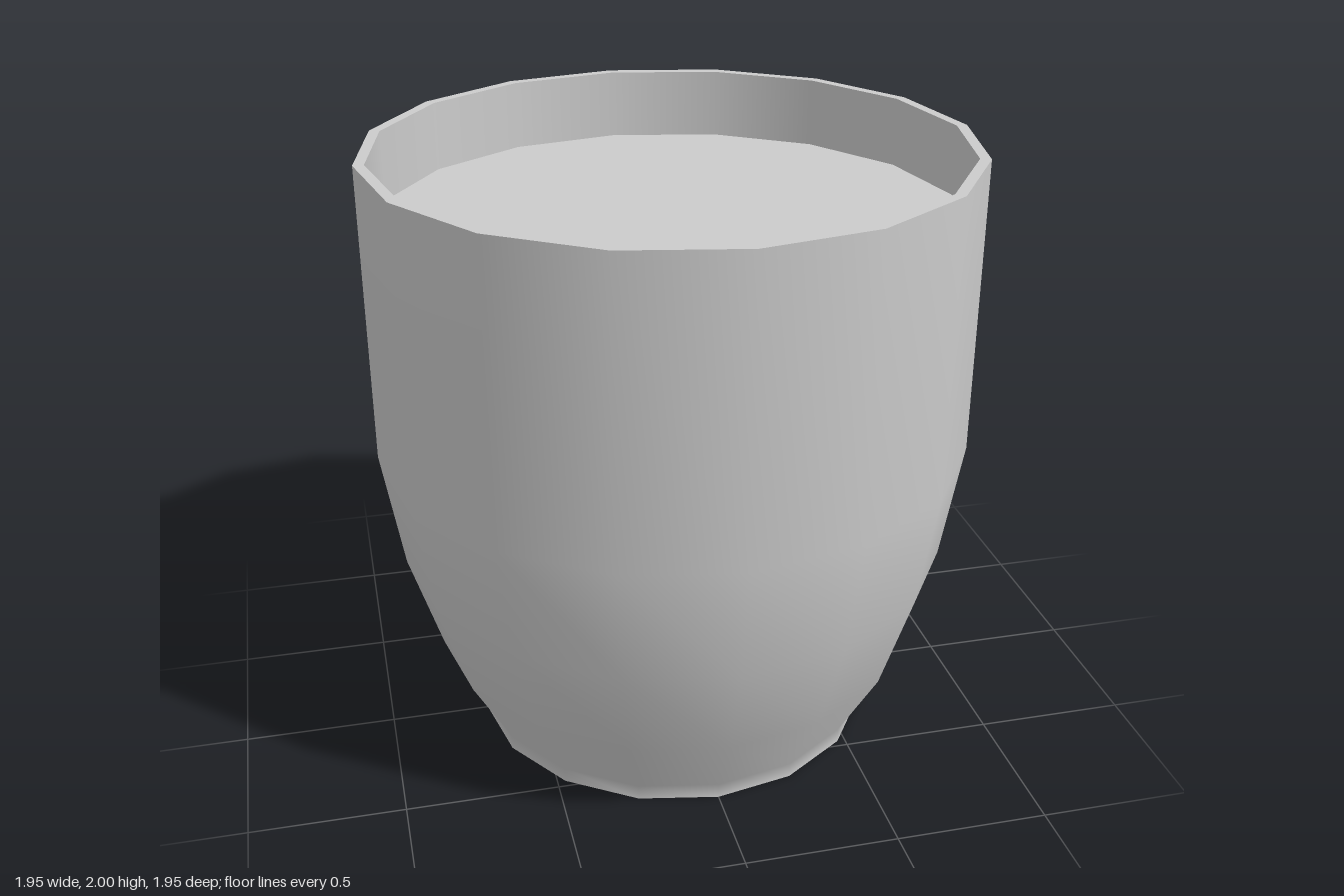
import * as THREE from 'three';

const SIDES = 16;
const RADIUS = 0.975;
const INNER = 0.94;
const HEIGHT = 2;
const FILL = 1.77;

export function createModel() {
  const group = new THREE.Group();
  group.name = 'cup';
  const material = new THREE.MeshStandardMaterial({ color: 0xcccccc });

  // Each part is its own lathe, so edges between parts stay sharp.
  const addLathe = (name, profile) => {
    const points = profile.map(([r, y]) => new THREE.Vector2(r, y));
    const mesh = new THREE.Mesh(new THREE.LatheGeometry(points, SIDES), material);
    mesh.name = name;
    group.add(mesh);
  };

  // Outer wall with short foot and rounded lower body
  addLathe('outerWall', [
    [0.67, 0], [0.67, 0.05], [0.805, 0.295], [0.91, 0.63], [RADIUS, 1.03], [RADIUS, HEIGHT],
  ]);
  // Flat top of the wall
  addLathe('rim', [[RADIUS, HEIGHT], [INNER, HEIGHT]]);
  // Inside of the wall down to the fill
  addLathe('innerWall', [[INNER, HEIGHT], [INNER, FILL]]);
  // Flat surface of the contents
  addLathe('fillSurface', [[INNER, FILL], [0, FILL]]);
  // Underside
  addLathe('base', [[0, 0], [0.67, 0]]);

  return group;
}
